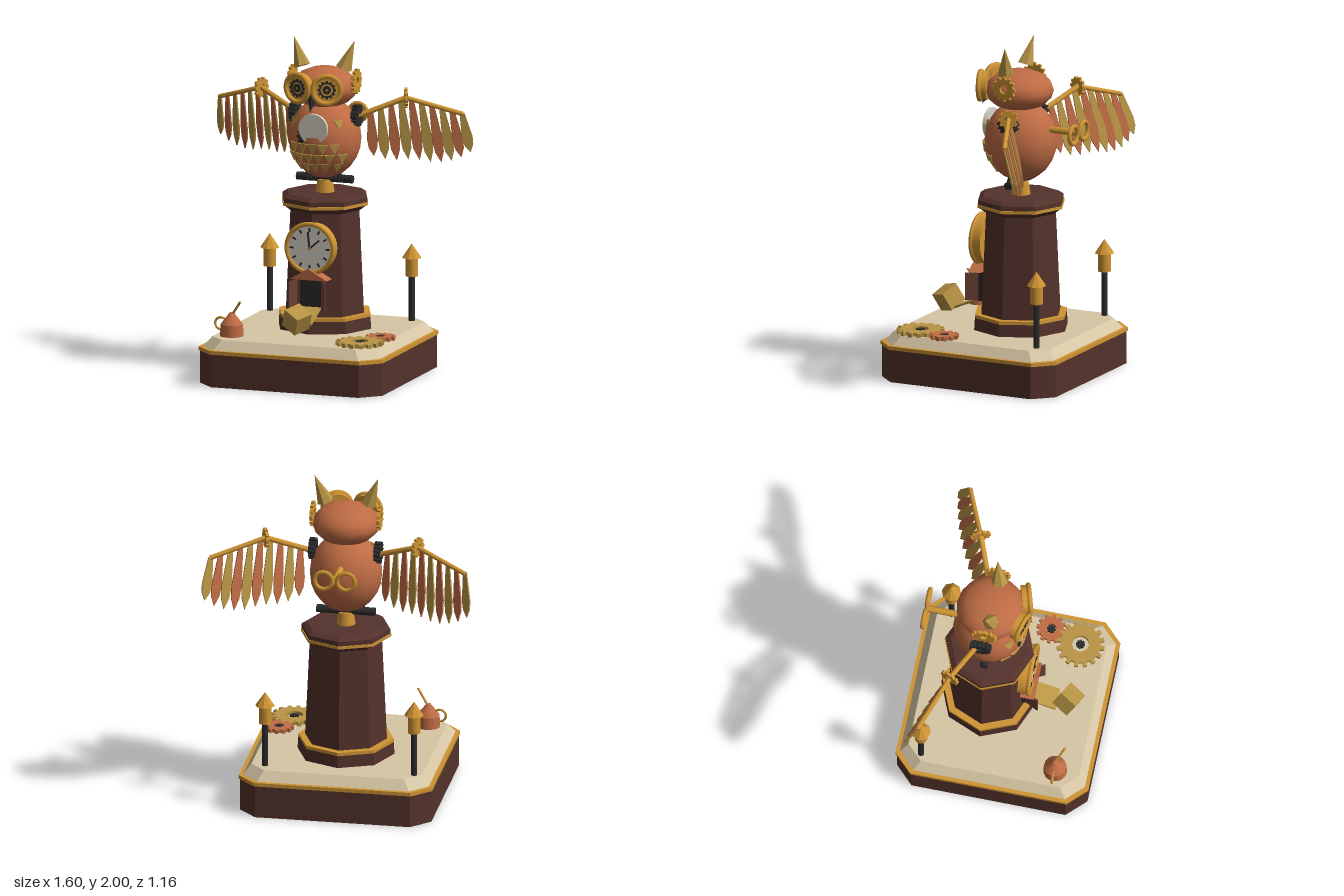
import * as THREE from 'three';

const colours = {
  walnut: 0x54322b, gold: 0xcf9434, brass: 0xb99545, copper: 0xbf6c44, cream: 0xd6c6a5,
  ivory: 0xd8d4c8, iron: 0x2b2b2d, mahogany: 0x6a4035,
};
const M = {};
for (const name in colours) {
  M[name] = new THREE.MeshStandardMaterial({ color: colours[name] });
  M[name].name = name;
}

function add(parent, name, geo, mat, pos = [0, 0, 0], rot = [0, 0, 0]) {
  const m = new THREE.Mesh(geo, mat);
  m.name = name;
  m.position.set(...pos);
  m.rotation.set(...rot);
  parent.add(m);
  return m;
}
function group(parent, name, pos = [0, 0, 0], rot = [0, 0, 0]) {
  const g = new THREE.Group();
  g.name = name;
  g.position.set(...pos);
  g.rotation.set(...rot);
  parent.add(g);
  return g;
}
function flat(geo) {
  const g = geo.index ? geo.toNonIndexed() : geo;
  g.computeVertexNormals();
  return g;
}
const box = (w, h, d) => new THREE.BoxGeometry(w, h, d);
const cyl = (rt, rb, h, n = 20) => new THREE.CylinderGeometry(rt, rb, h, n);
const prism = (rt, rb, h, n = 8) => flat(cyl(rt, rb, h, n));
const disc = (r, t, n = 32) => cyl(r, r, t, n).rotateX(Math.PI / 2);

// Flat plate cut from an outline, centred on its thickness
function plate(points, depth) {
  const shape = new THREE.Shape(points.map(p => new THREE.Vector2(...p)));
  return new THREE.ExtrudeGeometry(shape, { depth, bevelEnabled: false }).translate(0, 0, -depth / 2);
}

// Cog facing +z
function gear(r, teeth, hole, depth) {
  const shape = new THREE.Shape();
  for (let i = 0; i < teeth; i++) {
    [[-0.27, 0.83], [-0.2, 1], [0.2, 1], [0.27, 0.83]].forEach(([o, k], j) => {
      const a = (i + o) / teeth * Math.PI * 2;
      const x = Math.cos(a) * r * k, y = Math.sin(a) * r * k;
      if (i + j === 0) shape.moveTo(x, y); else shape.lineTo(x, y);
    });
  }
  shape.closePath();
  if (hole) shape.holes.push(new THREE.Path().absarc(0, 0, hole, 0, Math.PI * 2, true));
  return new THREE.ExtrudeGeometry(shape, { depth, bevelEnabled: false, curveSegments: 8 }).translate(0, 0, -depth / 2);
}

// Square slab with cut corners, optionally narrowing upwards
function slab(h, c, height, topScale = 1) {
  const k = h - c;
  const g = plate([[k, -h], [h, -k], [h, k], [k, h], [-k, h], [-h, k], [-h, -k], [-k, -h]], height);
  const p = g.attributes.position;
  for (let i = 0; i < p.count; i++) {
    if (p.getZ(i) > 0) p.setXY(i, p.getX(i) * topScale, p.getY(i) * topScale);
  }
  return flat(g.rotateX(-Math.PI / 2));
}

function rod(parent, name, a, b, r, mat, n = 10) {
  const A = new THREE.Vector3(...a), B = new THREE.Vector3(...b), d = B.clone().sub(A);
  const m = add(parent, name, cyl(r, r, d.length(), n), mat, A.clone().add(B).multiplyScalar(0.5).toArray());
  m.quaternion.setFromUnitVectors(new THREE.Vector3(0, 1, 0), d.normalize());
  return m;
}

const ZC = -0.11; // axis of the tower and owl

function buildWing(owl, s) {
  const wing = group(owl, s > 0 ? 'leftWing' : 'rightWing', [s * 0.195, 1.54, -0.15], [0, s * 0.39, 0]);
  rod(wing, 'upperArm', [0, 0, 0], [s * 0.28, 0.105, 0], 0.016, M.gold);
  rod(wing, 'forearm', [s * 0.28, 0.105, 0], [s * 0.615, 0.005, 0], 0.014, M.gold);
  add(wing, 'elbowGear', gear(0.06, 10, 0.02, 0.018), M.gold, [s * 0.28, 0.105, 0], [0, Math.PI / 2, 0]);
  const n = 10;
  for (let i = 0; i < n; i++) {
    const t = i / (n - 1), u = 0.07 + 0.54 * t;
    const y = u < 0.28 ? u * 0.375 : 0.105 - (u - 0.28) * 0.3;
    const len = 0.29 + 0.5 * t * (1 - t) - 0.035 * t, w = 0.032;
    const g = plate([[0, -len], [w * 0.8, -len * 0.82], [w, -len * 0.62], [w * 0.45, 0], [-w * 0.45, 0], [-w, -len * 0.62], [-w * 0.8, -len * 0.82]], 0.009);
    add(wing, 'feather', g, i % 2 ? M.brass : M.copper, [s * u, y, 0], [0.2, s * 0.25, s * (0.08 + 0.13 * t)]);
  }
}

function buildOwl(root) {
  const owl = group(root, 'owl');
  add(owl, 'body', new THREE.SphereGeometry(1, 18, 12).scale(0.215, 0.24, 0.215), M.copper, [0, 1.405, ZC]);
  add(owl, 'head', new THREE.SphereGeometry(1, 16, 8).scale(0.2, 0.122, 0.205), M.copper, [0, 1.71, -0.1]);
  add(owl, 'beak', prism(0.042, 0, 0.13, 6), M.iron, [0, 1.655, 0.115], [-0.5, 0, 0]);
  for (const s of [-1, 1]) {
    const eye = group(owl, 'eye', [s * 0.088, 1.733, 0.095], [0, s * 0.3, 0]);
    add(eye, 'eyeBack', disc(0.085, 0.04), M.gold, [0, 0, -0.01]);
    add(eye, 'eyeRim', new THREE.TorusGeometry(0.083, 0.015, 8, 32), M.gold, [0, 0, 0.015]);
    add(eye, 'irisGear', gear(0.055, 12, 0.037, 0.008), M.iron, [0, 0, 0.014]);
    add(eye, 'pupil', disc(0.025, 0.009, 16), M.iron, [0, 0, 0.015]);
    add(eye, 'pupilCentre', disc(0.007, 0.006, 10), M.gold, [0, 0, 0.019]);

    add(owl, 'earTuft', prism(0, 0.05, 0.18, 6), M.brass, [s * 0.16, 1.915, -0.088], [-0.14, 0, -s * 0.34]);
    add(owl, 'templeGear', gear(0.075, 12, 0.025, 0.018), M.gold, [s * 0.2, 1.755, -0.1], [0, Math.PI / 2, 0]);
    add(owl, 'shoulderGear', gear(0.065, 14, 0.02, 0.04), M.iron, [s * 0.195, 1.545, -0.125], [0, Math.PI / 2, 0]);
    for (const k of [-1, 0, 1]) {
      add(owl, 'toe', prism(0, 0.014, 0.06, 6), M.iron, [s * 0.075 + k * 0.025, 1.17, -0.075], [2.6, 0, 0]);
    }
    buildWing(owl, s);
  }

  // Chest window with a cog peeping out behind it
  add(owl, 'chestPlate', disc(0.09, 0.02), M.ivory, [0, 1.49, 0.088]);
  add(owl, 'chestGear', gear(0.062, 12, 0.02, 0.015), M.iron, [-0.042, 1.44, 0.085]);

  // Rows of pointed scales lying on the belly
  const scale = plate([[-0.031, 0], [0, -0.058], [0.031, 0]], 0.009);
  [[1.54, 4, 0.085], [1.4, 5, 0], [1.335, 6, 0], [1.275, 5, 0]].forEach(([y, n, min]) => {
    for (let i = 0; i < n; i++) {
      const x = (i - (n - 1) / 2) * (min ? 0.09 : 0.064);
      if (Math.abs(x) < min) continue;
      const dy = (y - 0.02 - 1.405) / 0.24, r = 0.215 * Math.sqrt(1 - dy * dy) + 0.006;
      const a = Math.asin(x / r);
      const m = add(owl, 'scale', scale, M.brass, [x, y, ZC + r * Math.cos(a)]);
      m.rotation.set(-dy * 0.8, a, 0, 'YXZ');
    }
  });

  // Winding key on the back
  const key = group(owl, 'windingKey', [0, 1.49, 0]);
  rod(key, 'keyShaft', [0, 0, -0.28], [0, 0, -0.49], 0.02, M.gold);
  for (const s of [-1, 1]) {
    add(key, 'keyLoop', new THREE.TorusGeometry(0.053, 0.013, 8, 24), M.gold, [s * 0.067, 0, -0.49]);
  }

  add(owl, 'perchStem', cyl(0.045, 0.058, 0.08, 12), M.gold, [0, 1.115, ZC]);
  rod(owl, 'perch', [-0.175, 1.163, ZC], [0.175, 1.163, ZC], 0.024, M.iron, 10);
}

function buildTower(root) {
  const tower = group(root, 'tower', [0, 0, ZC]);
  // bottom radius, top radius, bottom y, top y
  [['plinth', 0.29, 0.285, 0.27, 0.348, M.walnut], ['plinthTrim', 0.285, 0.285, 0.348, 0.368, M.gold],
    ['shaft', 0.245, 0.215, 0.36, 1.0, M.walnut], ['capFlare', 0.215, 0.262, 0.98, 1.015, M.walnut],
    ['capTrim', 0.27, 0.27, 1.015, 1.033, M.gold], ['cap', 0.265, 0.265, 1.033, 1.06, M.walnut],
    ['capTop', 0.265, 0.235, 1.06, 1.08, M.walnut]].forEach(([name, rb, rt, y0, y1, mat]) =>
    add(tower, name, prism(rt, rb, y1 - y0), mat, [0, (y0 + y1) / 2, 0]));

  const clock = group(root, 'clock', [0, 0.785, 0.14]);
  add(clock, 'clockCase', disc(0.15, 0.06), M.gold, [0, 0, -0.025]);
  add(clock, 'clockRim', new THREE.TorusGeometry(0.145, 0.014, 8, 40), M.gold, [0, 0, 0.008]);
  add(clock, 'clockFace', disc(0.138, 0.01), M.ivory, [0, 0, 0.005]);
  for (let i = 0; i < 12; i++) {
    const a = i * Math.PI / 6;
    add(clock, 'hourMark', box(0.01, 0.024, 0.006), M.iron, [Math.sin(a) * 0.112, Math.cos(a) * 0.112, 0.012], [0, 0, -a]);
  }
  for (const [name, len, a] of [['minuteHand', 0.1, 0.1], ['hourHand', 0.08, -0.87]]) {
    add(clock, name, box(0.01, len, 0.006).translate(0, len / 2, 0), M.iron, [0, 0, 0.015], [0, 0, a]);
  }
  add(clock, 'handPin', disc(0.01, 0.012, 12), M.gold, [0, 0, 0.016]);

  // Little house with open doors, tongue and popped-out block
  const house = group(root, 'house');
  add(house, 'recess', box(0.16, 0.18, 0.07), M.iron, [0, 0.51, 0.1]);
  add(house, 'roof', plate([[-0.118, 0.6], [0.118, 0.6], [0, 0.668]], 0.085), M.copper, [0, 0, 0.138]);
  for (const s of [-1, 1]) {
    add(house, 'door', box(0.08, 0.165, 0.01).translate(s * 0.04, 0, 0), M.mahogany, [s * 0.078, 0.508, 0.13], [0, -s * 1.1, 0]);
    add(house, 'doorPost', box(0.012, 0.18, 0.012), M.mahogany, [s * 0.075, 0.51, 0.136]);
  }
  add(house, 'tongue', box(0.13, 0.012, 0.19), M.brass, [0, 0.395, 0.21], [0.4, 0, 0]);
  add(house, 'block', box(0.115, 0.115, 0.115), M.brass, [0, 0.4, 0.365], [0.25, -0.5, -0.35]);
}

export function createModel() {
  const root = new THREE.Group();
  root.name = 'owlClock';

  // Stepped base
  add(root, 'baseBlock', slab(0.572, 0.11, 0.2), M.walnut, [0, 0.1, 0]);
  add(root, 'baseTrim', slab(0.578, 0.11, 0.022), M.gold, [0, 0.207, 0]);
  add(root, 'baseTop', slab(0.555, 0.1, 0.057, 0.92), M.cream, [0, 0.2465, 0]);

  buildTower(root);
  buildOwl(root);

  // Lamp posts
  for (const x of [-0.463, 0.427]) {
    const lamp = group(root, 'lampPost', [x, 0, -0.427]);
    add(lamp, 'post', cyl(0.018, 0.018, 0.28, 10), M.iron, [0, 0.41, 0]);
    add(lamp, 'lantern', cyl(0.038, 0.038, 0.115, 12), M.gold, [0, 0.6, 0]);
    add(lamp, 'lanternRoof', prism(0, 0.058, 0.085), M.gold, [0, 0.695, 0]);
  }

  // Oil can
  const can = group(root, 'oilCan', [-0.408, 0.275, 0.367]);
  add(can, 'canBody', cyl(0.066, 0.07, 0.07, 16), M.copper, [0, 0.035, 0]);
  add(can, 'canShoulder', cyl(0.012, 0.066, 0.07, 16), M.copper, [0, 0.105, 0]);
  add(can, 'canHandle', new THREE.TorusGeometry(0.036, 0.007, 6, 20), M.gold, [-0.068, 0.07, 0]);
  rod(can, 'canSpout', [0.005, 0.13, 0], [0.07, 0.215, 0.045], 0.007, M.gold, 8);

  // Loose cogs lying on the base
  for (const [name, x, z, r, n, hole, mat] of [
    ['largeGear', 0.39, 0.355, 0.142, 16, 0.05, M.brass], ['smallGear', 0.45, 0.168, 0.088, 12, 0.03, M.copper]]) {
    const cog = group(root, name, [x, 0.286, z], [-Math.PI / 2, 0, 0]);
    add(cog, 'cogRing', gear(r, n, hole, 0.024), mat);
    add(cog, 'cogHub', gear(0.026, 8, 0, 0.02), M.iron);
  }
  return root;
}
